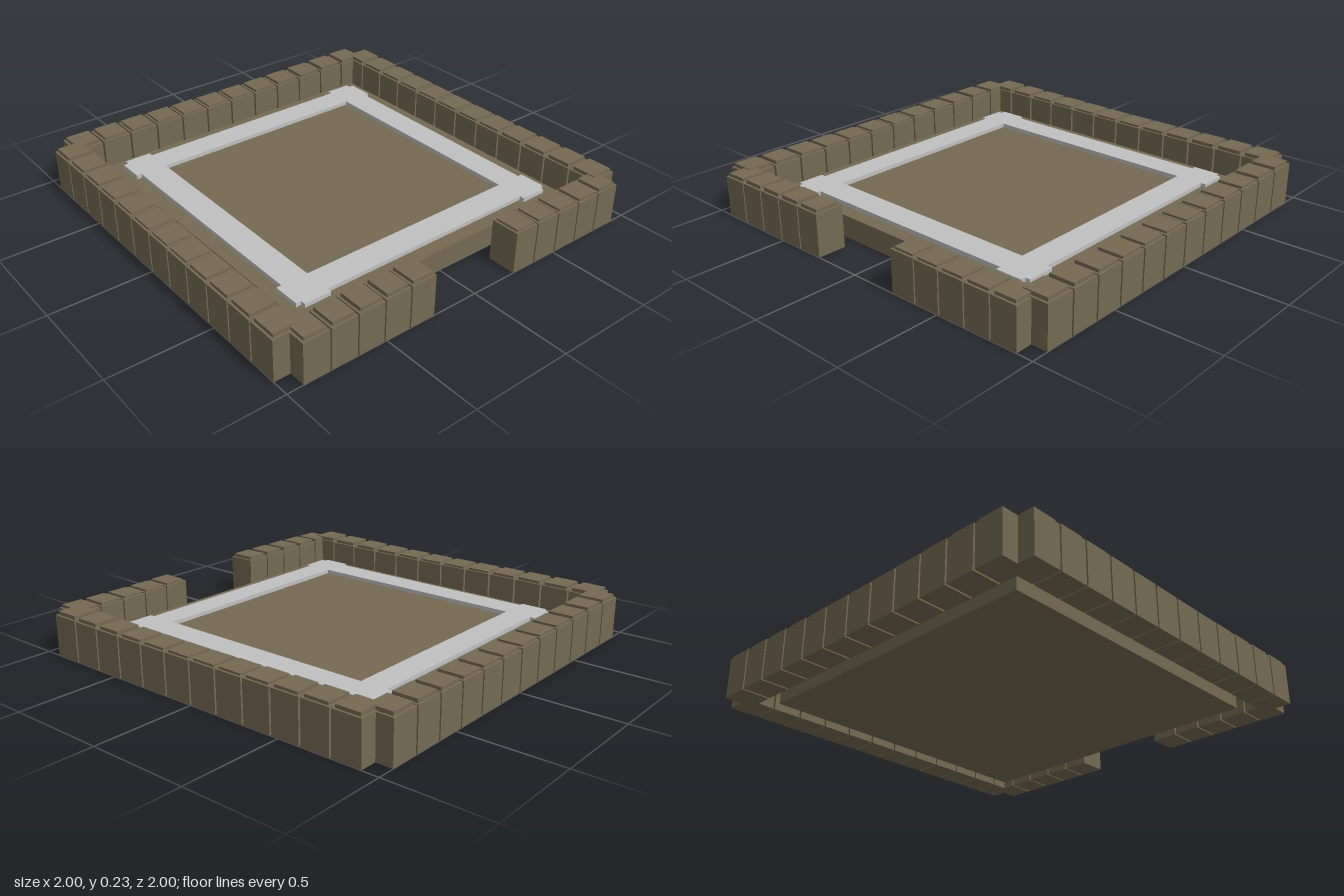
import * as THREE from 'three';

export function createModel() {
  const model = new THREE.Group();
  const stone = new THREE.MeshStandardMaterial({ color: 0x756a52 });
  stone.name = 'brown stone';
  const trim = new THREE.MeshStandardMaterial({ color: 0xc0c0c0 });
  trim.name = 'pale grey trim';

  function box(parent, name, material, size, x, bottom, z) {
    const mesh = new THREE.Mesh(new THREE.BoxGeometry(...size), material);
    mesh.name = name;
    mesh.position.set(x, bottom + size[1] / 2, z);
    parent.add(mesh);
  }

  // Raised floor
  box(model, 'floorSlab', stone, [1.57, 0.11, 1.57], 0, 0, 0);

  // Border of four crossing strips
  const border = new THREE.Group();
  border.name = 'floorBorder';
  for (const s of [-1, 1]) {
    box(border, 'sideStrip', trim, [0.135, 0.02, 1.48], s * 0.6475, 0.11, 0);
    box(border, 'crossStrip', trim, [1.48, 0.02, 0.135], 0, 0.11, s * 0.6475);
  }
  model.add(border);

  // One wall block with a slightly inset cap; heights vary gently
  function block(parent, x, z, width, depth, wave) {
    const height = 0.205 + 0.004 * Math.sin(wave);
    const cap = 0.0145 + 0.004 * Math.cos(wave);
    box(parent, 'wallBlock', stone, [width, height, depth], x, 0, z);
    box(parent, 'blockCap', stone, [width - 0.022, cap, depth - 0.022], x, height, z);
  }

  function wall(name) {
    const group = new THREE.Group();
    group.name = name;
    model.add(group);
    return group;
  }

  // Back and side walls: twelve blocks each
  const back = wall('backWall');
  const left = wall('leftWall');
  const right = wall('rightWall');
  for (let i = 0; i < 12; i++) {
    const t = -0.845 + i * 0.1536;
    block(back, t, -0.928, 0.144, 0.144, 1 + i * 0.5);
    block(left, 0.928, t, 0.144, 0.144, 1 + i * 0.45);
    block(right, -0.928, t, 0.144, 0.144, 0.6 + i * 0.5);
  }

  // Front wall: five blocks on each side of the entrance
  for (const s of [-1, 1]) {
    const front = wall(s > 0 ? 'frontWallLeft' : 'frontWallRight');
    for (let i = 0; i < 5; i++) {
      block(front, s * (0.305 + i * 0.1375), 0.928, 0.13, 0.144, 2 + s * (1 + i * 0.5));
    }
  }
  return model;
}
